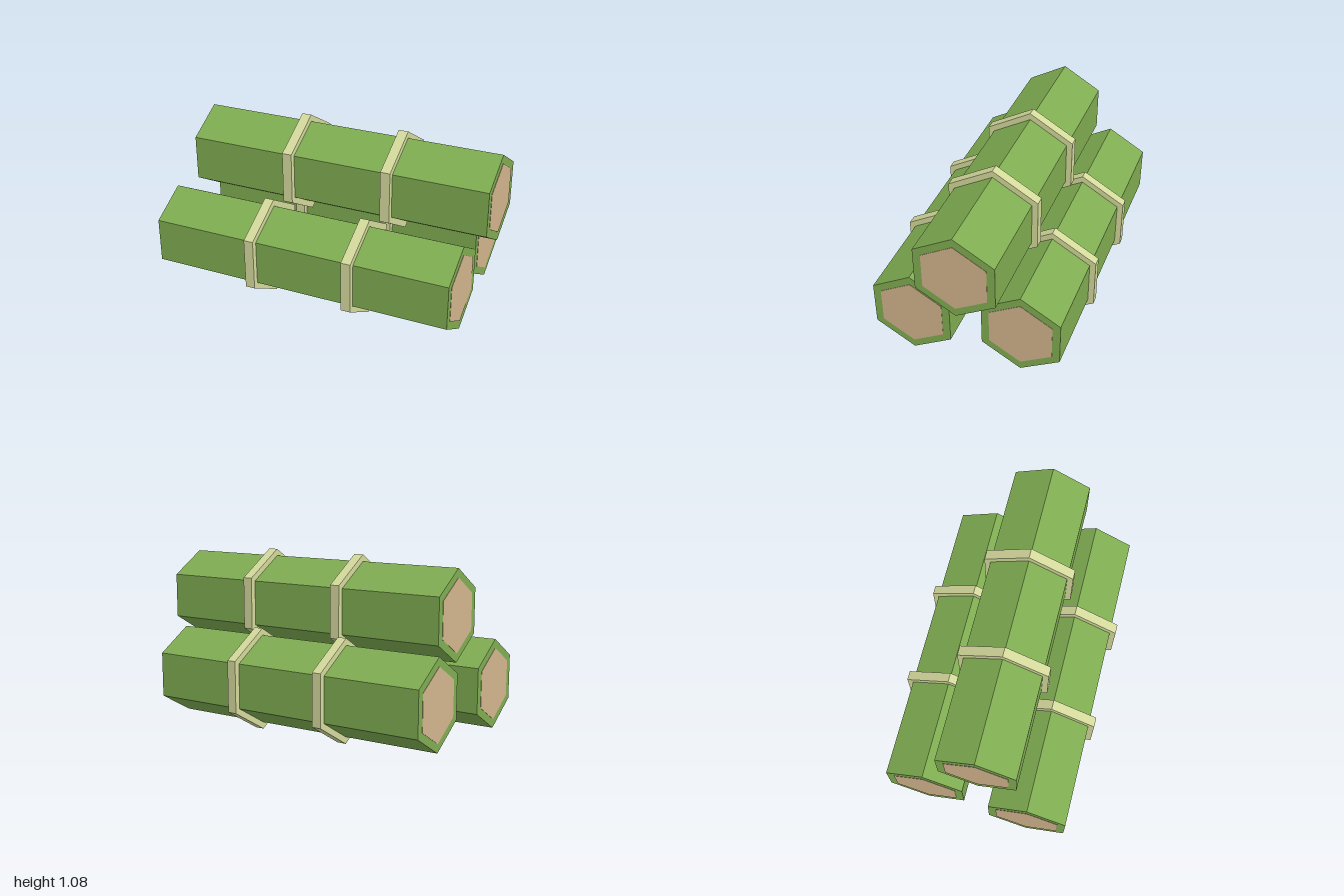
import * as THREE from 'three';

const stalkGreen = new THREE.MeshStandardMaterial({ name: 'stalk green', color: 0x7fac51, flatShading: true });
const jointCream = new THREE.MeshStandardMaterial({ name: 'joint cream', color: 0xd4d99b, flatShading: true });
const coreTan = new THREE.MeshStandardMaterial({ name: 'core tan', color: 0xd2b48c, flatShading: true });

// Six-sided prism along x with a corner pointing up
function hexPrism(name, radius, length, x, material) {
  const geometry = new THREE.CylinderGeometry(radius, radius, length, 6, 1, false, Math.PI / 6);
  geometry.rotateZ(Math.PI / 2);
  const mesh = new THREE.Mesh(geometry, material);
  mesh.name = name;
  mesh.position.x = x;
  return mesh;
}

// One stalk with two raised joints and a pale core at each cut end
function createStalk(name, length, x, y, z) {
  const stalk = new THREE.Group();
  stalk.name = name;
  stalk.position.set(x, y, z);
  stalk.add(hexPrism('stalkBody', 0.2745, length, 0, stalkGreen));
  for (const offset of [-0.153, 0.18]) {
    stalk.add(hexPrism('joint', 0.3165, length * 0.0316, length * offset, jointCream));
  }
  for (const side of [-1, 1]) {
    stalk.add(hexPrism('endCore', 0.22, 0.004, side * length / 2, coreTan));
  }
  return stalk;
}

export function createModel() {
  const model = new THREE.Group();
  model.name = 'stalkPile';
  model.add(
    createStalk('frontStalk', 1.9, -0.05, 0.3165, 0.325),
    createStalk('backStalk', 1.8, -0.05, 0.3165, -0.325),
    createStalk('topStalk', 1.9, 0.05, 0.768, 0),
  );
  return model;
}
